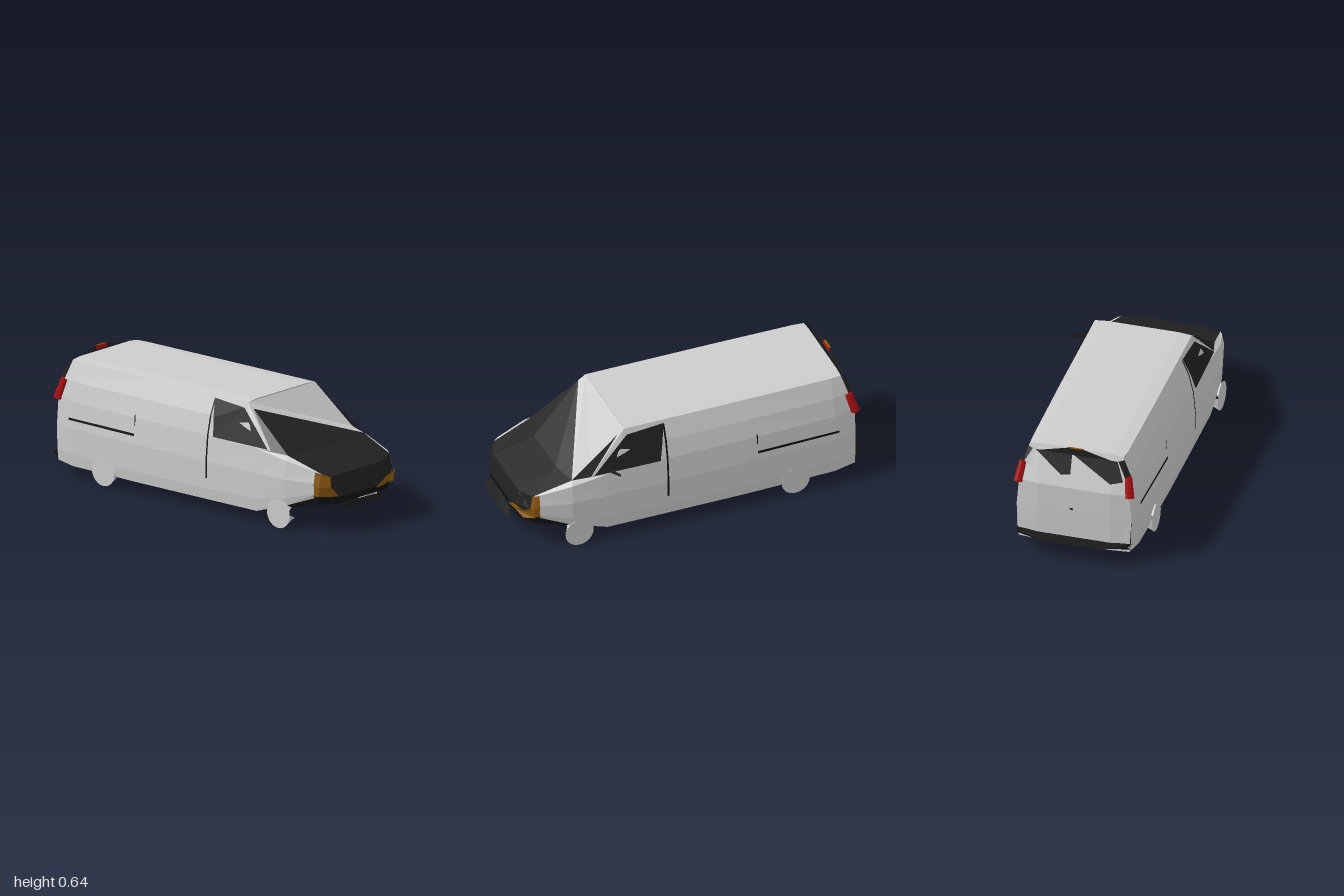
import * as THREE from 'three';

const mat = (name, color) => {
  const m = new THREE.MeshStandardMaterial({ color, flatShading: true, side: THREE.DoubleSide });
  m.name = name;
  return m;
};

export function createModel() {
  const paint = mat('light grey paint', 0xcccccc);
  const dark = mat('dark glass and grille', 0x212121);
  const black = mat('black plastic', 0x111111);
  const amber = mat('amber lamp', 0x8a570c);
  const red = mat('red lamp', 0xa80f12);

  const model = new THREE.Group();
  const van = new THREE.Group();
  van.name = 'van';
  van.position.x = -0.037;
  model.add(van);

  const add = (name, material, verts) => {
    const g = new THREE.BufferGeometry();
    g.setAttribute('position', new THREE.Float32BufferAttribute(verts.flat(), 3));
    g.computeVertexNormals();
    const mesh = new THREE.Mesh(g, material);
    mesh.name = name;
    van.add(mesh);
  };
  // skin stretched over rows of points
  const skin = (name, material, rows) => {
    const v = [];
    for (let i = 0; i + 1 < rows.length; i++) {
      for (let j = 0; j + 1 < rows[i].length; j++) {
        const a = rows[i][j], b = rows[i][j + 1], c = rows[i + 1][j + 1], d = rows[i + 1][j];
        v.push(a, b, c, a, c, d);
      }
    }
    add(name, material, v);
  };
  // flat convex plate
  const plate = (name, material, p) => {
    const v = [];
    for (let i = 1; i + 1 < p.length; i++) v.push(p[0], p[i], p[i + 1]);
    add(name, material, v);
  };
  const flip = (s, pts) => pts.map(([x, y, z]) => [s * x, y, z]);
  // full-width row from half a row, outermost point first
  const across = (half) => [...flip(-1, half), ...[...half].reverse()];

  // Lower body stations: z, half width, and heights from sill to belt
  const stations = [
    [-0.92, 0.315, 0.07, 0.13, 0.27, 0.42],
    [-0.8, 0.335, 0.06, 0.13, 0.27, 0.41],
    [-0.3, 0.348, 0.06, 0.12, 0.27, 0.41],
    [0.16, 0.348, 0.06, 0.12, 0.27, 0.41],
    [0.5, 0.347, 0.06, 0.13, 0.27, 0.4],
    [0.7, 0.342, 0.125, 0.17, 0.27, 0.37],
    [0.87, 0.3, 0.19, 0.21, 0.27, 0.33],
  ];
  const taper = [0.965, 0.99, 1, 0.96];
  const levels = taper.map((t, k) => stations.map((s) => [s[1] * t, s[k + 2], s[0]]));
  const belt = levels[3];
  const pillarFoot = [0.325, 0.403, 0.59];
  const hoodCorner = [0.3, 0.39, 0.69], hoodFront = [0.27, 0.322, 0.9];
  const roofEdge = [[-0.86, 0.255], [-0.8, 0.262], [-0.3, 0.266], [0.16, 0.266], [0.34, 0.266], [0.38, 0.266]]
    .map(([z, x]) => [x, 0.618, z]);
  const beltTop = [...belt.slice(0, 5), pillarFoot];
  // gently bulged row between belt and roof
  const shoulder = beltTop.map((p, i) => {
    const r = roofEdge[i];
    return [(p[0] + r[0]) / 2 + (i < 5 ? 0.008 : 0), (p[1] + r[1]) / 2, (p[2] + r[2]) / 2];
  });
  const glassTop = [0.268, 0.59, 0.42];

  // inner edge of each headlamp; the left one is narrow at the top
  const lampInner = {
    left: [[0.268, 0.31, 0.903], [0.275, 0.25, 0.915], [0.19, 0.19, 0.957]],
    right: [[-0.235, 0.305, 0.93], [-0.24, 0.25, 0.94], [-0.19, 0.19, 0.957]],
  };

  for (const s of [1, -1]) {
    const side = s > 0 ? 'left' : 'right';
    const m = (rows) => rows.map((r) => flip(s, r));
    skin(side + 'LowerSide', paint, m(levels));
    skin(side + 'UpperSide', paint, m([beltTop, shoulder, roofEdge]));
    skin(side + 'Fender', paint, m([belt.slice(4), [pillarFoot, hoodCorner, hoodFront]]));
    plate(side + 'ScreenReturn', dark, flip(s, [glassTop, hoodCorner, pillarFoot]));

    // front door window, door gaps and sliding door rail
    plate(side + 'DoorWindow', dark, flip(s, [
      [0.284, 0.59, 0.37], [0.332, 0.408, 0.575], [0.341, 0.41, 0.2], [0.316, 0.51, 0.18], [0.28, 0.605, 0.16]]));
    skin(side + 'DoorGap', black, m([0.165, 0.155].map((z) => [
      [0.351, 0.18, z], [0.352, 0.27, z], [0.339, 0.41, z], [0.315, 0.514, z], [0.278, 0.6, z]])));
    plate(side + 'DoorRail', black, flip(s, [
      [0.349, 0.313, -0.35], [0.347, 0.327, -0.35], [0.335, 0.325, -0.82], [0.337, 0.313, -0.82]]));
    plate(side + 'RearDoorGap', black, flip(s, [
      [0.343, 0.37, -0.347], [0.338, 0.43, -0.347], [0.338, 0.43, -0.353], [0.343, 0.37, -0.353]]));

    // headlamp wrapping the nose corner
    const inner = lampInner[side];
    skin(side + 'Headlamp', amber, [
      [...flip(s, [[0.288, 0.33, 0.87], hoodFront]), inner[0]],
      [...flip(s, [[0.301, 0.265, 0.865], [0.292, 0.25, 0.9]]), inner[1]],
      [...flip(s, [[0.297, 0.2, 0.865], [0.29, 0.2, 0.895]]), inner[2]]]);
    // bumper end under the fender
    skin(side + 'BumperEnd', black, m([
      levels[0].slice(4), [[0.335, 0.06, 0.5], [0.309, 0.11, 0.7], [0.285, 0.155, 0.88]],
    ]));
    plate(side + 'BumperCorner', black, flip(s, [levels[0][6], [0.285, 0.155, 0.88], [0.29, 0.2, 0.895], [0.297, 0.2, 0.865]]));

    // tail lamp and dark trim above it
    const lamp = new THREE.Mesh(new THREE.CylinderGeometry(0.02, 0.025, 0.115, 8), red);
    lamp.name = side + 'TailLamp';
    lamp.position.set(s * 0.298, 0.463, -0.905);
    lamp.rotation.set(0.3, 0, s * 0.15);
    van.add(lamp);
    plate(side + 'LampTrim', dark, flip(s, [
      [0.263, 0.605, -0.87], [0.302, 0.525, -0.885], [0.28, 0.525, -0.92], [0.235, 0.605, -0.89]]));

    // wheels: outer disc with fins reaching inward
    for (const [end, z] of [['front', 0.665], ['rear', -0.565]]) {
      const wheel = new THREE.Mesh(new THREE.CircleGeometry(0.08, 24), paint);
      wheel.name = `${end}${side}Wheel`;
      wheel.rotation.y = s * Math.PI / 2;
      wheel.position.set(s * 0.349, 0.08, z);
      van.add(wheel);
      const fins = [];
      for (let i = 0; i < 5; i++) {
        const a = i * Math.PI * 0.4 + 0.3;
        const at = (x, r, t) => [s * x, 0.08 + r * Math.sin(t), z + r * Math.cos(t)];
        fins.push(at(0.348, 0.078, a), at(0.348, 0.078, a + 1), at(0.28, 0.06, a + 0.5));
      }
      add(`${end}${side}WheelFins`, paint, fins);
    }
  }

  // roof, with a slight crown
  skin('roof', paint, roofEdge.map((p) => across([p, [0.2, 0.625, p[2]]])));

  // windscreen split along its diagonal
  const top = roofEdge[5];
  const screenBase = across([hoodCorner, [0.15, 0.39, 0.72]]);
  const [topRight, glassRight] = flip(-1, [top, glassTop]);
  plate('windscreenGlass', dark, [glassRight, ...screenBase]);
  plate('windscreenPanel', paint, [topRight, glassRight, hoodCorner, pillarFoot, top]);
  plate('roofLip', paint, across([top, [0.2, 0.625, 0.38]]));

  // hood and nose
  const noseTop = [[-0.17, 0.31, 0.94], [0.17, 0.31, 0.94]];
  skin('hood', dark, [screenBase, [...flip(-1, [hoodFront]), ...noseTop, hoodFront]]);
  skin('grille', dark, [
    [...flip(-1, [hoodFront]), ...noseTop, hoodFront],
    [lampInner.right[0], ...noseTop, lampInner.left[0]],
    [lampInner.right[1], [-0.19, 0.25, 0.958], [0.19, 0.25, 0.958], lampInner.left[1]],
    [lampInner.right[2], [-0.1, 0.19, 0.957], [0.1, 0.19, 0.957], lampInner.left[2]]]);
  skin('grilleInset', dark, [
    across([[0.235, 0.3, 0.93], [0.17, 0.297, 0.955]]),
    across([[0.225, 0.24, 0.945], [0.17, 0.23, 0.966]])]);
  plate('lowerLamp', amber, [
    [0.19, 0.21, 0.967], [0.085, 0.182, 0.964], [0.17, 0.235, 0.969], [0.24, 0.242, 0.957],
    [0.302, 0.238, 0.908], [0.304, 0.205, 0.903], [0.25, 0.186, 0.945], [0.085, 0.182, 0.964]]);
  skin('frontBumper', black, [
    across([[0.29, 0.2, 0.895], [0.2, 0.195, 0.957]]),
    across([[0.285, 0.155, 0.88], [0.2, 0.155, 0.95]]),
    across([[0.335, 0.06, 0.5], [0.2, 0.06, 0.5]])]);
  plate('frontLip', black, [[-0.2, 0.155, 0.94], [-0.165, 0.135, 1], [0.165, 0.135, 1], [0.1, 0.15, 0.96]]);

  // floor, open behind the rear axle
  skin('floor', black, [across([[0.335, 0.06, 0.5]]), across([[0.335, 0.06, -0.55]])]);

  // rear doors with split windows standing slightly proud
  skin('rearDoors', paint, [
    across([roofEdge[0], [0.2, 0.625, -0.86]]),
    across([belt[0], [0.2, 0.42, -0.935]]),
    across([levels[2][0], [0.2, 0.27, -0.935]]),
    across([levels[0][0], [0.2, 0.07, -0.93]])]);
  const onDoor = (x, y) => [x, y, -0.877 - (0.625 - y) * 0.366];
  plate('rearWindowLeft', dark, [onDoor(0.22, 0.6), onDoor(0.02, 0.605), onDoor(0.02, 0.5), onDoor(0.07, 0.49)]);
  plate('rearWindowRight', dark, [onDoor(0.02, 0.605), onDoor(-0.23, 0.6), onDoor(-0.27, 0.5), onDoor(-0.2, 0.48)]);
  plate('doorHandle', black, [[0, 0.29, -0.94], [0.02, 0.29, -0.94], [0.02, 0.3, -0.94], [0, 0.3, -0.94]]);

  // rear bumper step
  skin('rearBumper', black, [
    across([[0.315, 0.12, -0.915], [0.2, 0.12, -0.937]]),
    across([[0.305, 0.115, -0.95], [0.16, 0.108, -1]]),
    across([[0.31, 0.085, -0.92], [0.2, 0.085, -0.94]])]);

  // high brake lamp, red to the front with a dark housing behind
  plate('highBrakeLamp', red, [[-0.045, 0.624, -0.88], [0.04, 0.624, -0.88], [0.04, 0.643, -0.885], [-0.045, 0.643, -0.885]]);
  plate('brakeLampTop', amber, [[-0.04, 0.644, -0.895], [0.034, 0.644, -0.895], [0.034, 0.644, -0.882], [-0.04, 0.644, -0.882]]);
  plate('brakeLampHousing', dark, [[-0.2, 0.6, -0.888], [0.2, 0.6, -0.888], [0.04, 0.643, -0.89], [-0.045, 0.643, -0.89]]);

  // door mirror, left side only
  plate('doorMirror', dark, [[0.337, 0.42, 0.5], [0.362, 0.447, 0.49], [0.422, 0.447, 0.46], [0.422, 0.432, 0.46]]);

  return model;
}
